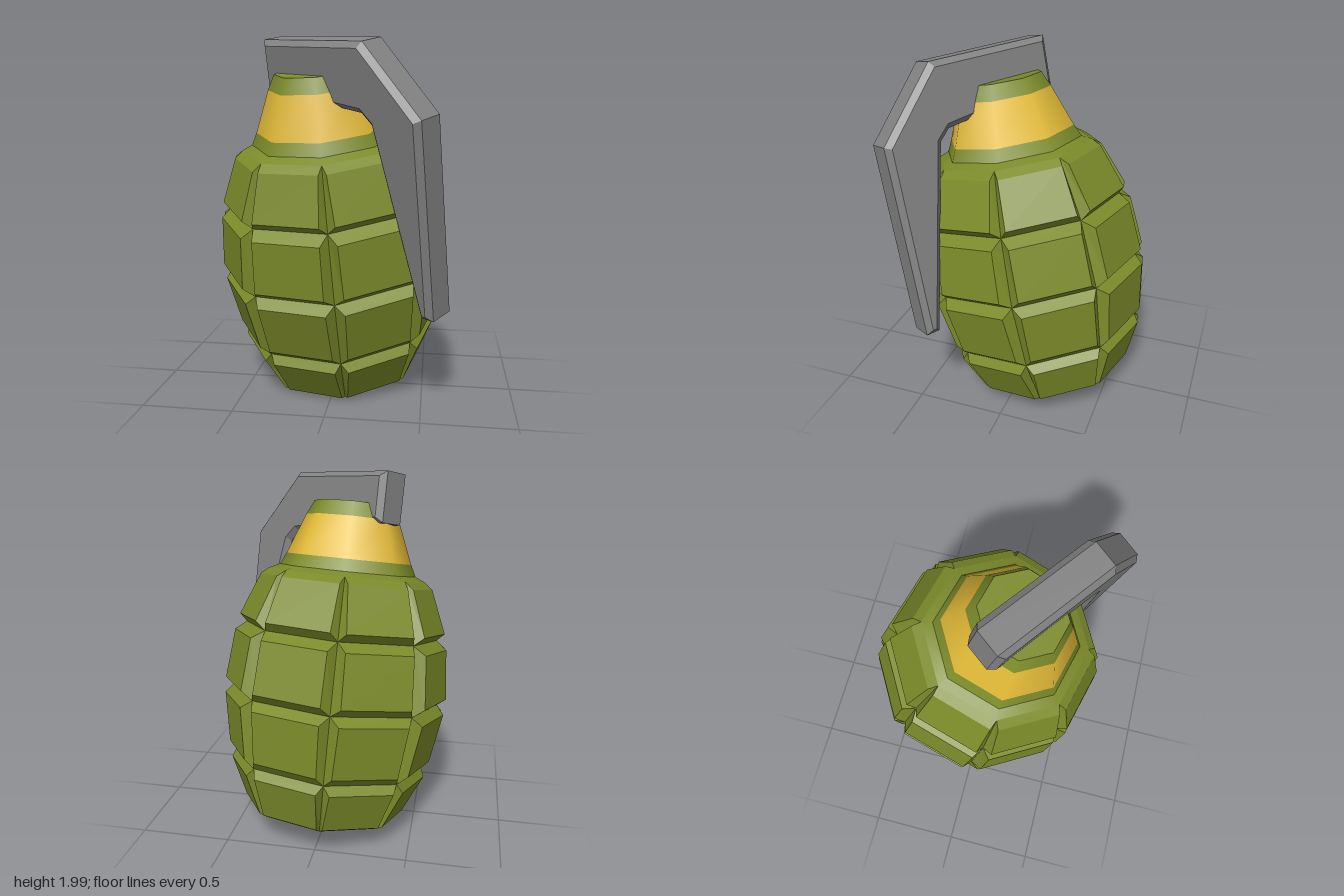
import * as THREE from 'three';

const SIDES = 8;
const STEP = (Math.PI * 2) / SIDES;
const START = THREE.MathUtils.degToRad(8); // angle of the first vertical groove

// Raised block with bevelled edges, one for each cell of the grooved body.
// base and face are [height, size] pairs for the lower and upper edge:
// base size is the groove corner radius, face size the distance from the axis.
function blockGeometry(base, face, angle) {
  const u = new THREE.Vector3(Math.sin(angle), 0, Math.cos(angle));
  const v = new THREE.Vector3(Math.cos(angle), 0, -Math.sin(angle));
  const at = (out, side, y) =>
    new THREE.Vector3(0, y, 0).addScaledVector(u, out).addScaledVector(v, side);
  const ring = (edges, outOf, halfOf) => {
    const [[y0, s0], [y1, s1]] = edges;
    return [
      at(outOf(s0), -halfOf(s0), y0), at(outOf(s0), halfOf(s0), y0),
      at(outOf(s1), halfOf(s1), y1), at(outOf(s1), -halfOf(s1), y1),
    ];
  };
  const b = ring(base, (r) => r * Math.cos(STEP / 2), (r) => r * Math.sin(STEP / 2));
  const f = ring(face, (a) => a, (a) => 0.08 + 0.19 * a);
  const points = [];
  const quad = (p, q, r, s) => points.push(p, q, r, p, r, s);
  quad(...f);
  for (let i = 0; i < 4; i++) {
    const j = (i + 1) % 4;
    quad(b[i], b[j], f[j], f[i]);
  }
  const geometry = new THREE.BufferGeometry().setFromPoints(points);
  geometry.computeVertexNormals();
  return geometry;
}

export function createModel() {
  const green = new THREE.MeshStandardMaterial({ color: 0x7c8b2a });
  green.name = 'olive green';
  const yellow = new THREE.MeshStandardMaterial({ color: 0xe2ba38 });
  yellow.name = 'band yellow';
  const grey = new THREE.MeshStandardMaterial({ color: 0x828282 });
  grey.name = 'lever grey';

  const model = new THREE.Group();
  model.name = 'grenade';

  // Everything leans along a tilted axis
  const tilted = new THREE.Group();
  tilted.name = 'tiltedAssembly';
  tilted.position.set(0.02, 0.068, -0.163);
  tilted.quaternion.setFromUnitVectors(
    new THREE.Vector3(0, 1, 0),
    new THREE.Vector3(-0.062, 0.98, 0.2).normalize()
  );
  model.add(tilted);

  const add = (parent, name, geometry, material) => {
    const mesh = new THREE.Mesh(geometry, material);
    mesh.name = name;
    parent.add(mesh);
    return mesh;
  };

  // Grooved body: four rows of eight blocks
  const body = new THREE.Group();
  body.name = 'body';
  tilted.add(body);
  const grooves = [[0.015, 0.41], [0.31, 0.54], [0.685, 0.59], [1.055, 0.545], [1.375, 0.44]];
  const faces = [
    [[0.04, 0.43], [0.262, 0.53]],
    [[0.355, 0.55], [0.64, 0.598]],
    [[0.73, 0.602], [1.01, 0.572]],
    [[1.1, 0.552], [1.34, 0.455]],
  ];
  faces.forEach((face, row) => {
    for (let i = 0; i < SIDES; i++) {
      const angle = START + (i + 0.5) * STEP;
      add(body, `block${row + 1}_${i + 1}`,
        blockGeometry([grooves[row], grooves[row + 1]], face, angle), green);
    }
  });

  // Flat underside, its corners on the vertical grooves
  const base = add(body, 'underside',
    new THREE.CircleGeometry(grooves[0][1], SIDES, -START, Math.PI * 2), green);
  base.rotation.x = Math.PI / 2;
  base.position.y = grooves[0][0];

  // Tapered neck: green shoulder and collar, yellow band, green cap
  const neck = (name, y0, r0, y1, r1, material, open) => {
    const mesh = add(tilted, name,
      new THREE.CylinderGeometry(r1, r0, y1 - y0, SIDES, 1, open, START), material);
    mesh.position.y = (y0 + y1) / 2;
  };
  neck('shoulder', 1.375, 0.44, 1.4, 0.385, green, true);
  neck('collar', 1.4, 0.385, 1.465, 0.353, green, true);
  neck('band', 1.465, 0.353, 1.69, 0.262, yellow, true);
  neck('cap', 1.69, 0.262, 1.77, 0.222, green, false);

  // Safety lever: bent, tapering profile with chamfered edges
  const profile = [
    [-0.275, 1.67], [0.39, 1.595], [0.45, 1.54], [0.695, 0.55],
    [0.77, 0.55], [0.755, 1.59], [0.425, 1.942], [-0.275, 1.94],
  ];
  const width = 0.2;
  const bevel = 0.03;
  const leverGeometry = new THREE.ExtrudeGeometry(
    new THREE.Shape(profile.map(([x, y]) => new THREE.Vector2(x, y))),
    {
      depth: width - 2 * bevel, bevelEnabled: true, bevelSegments: 1,
      bevelSize: bevel, bevelThickness: bevel, bevelOffset: -bevel,
    }
  );
  leverGeometry.translate(0, 0, bevel - width / 2 + 0.02);
  const lever = add(tilted, 'lever', leverGeometry, grey);
  lever.rotation.y = THREE.MathUtils.degToRad(-36);

  return model;
}
